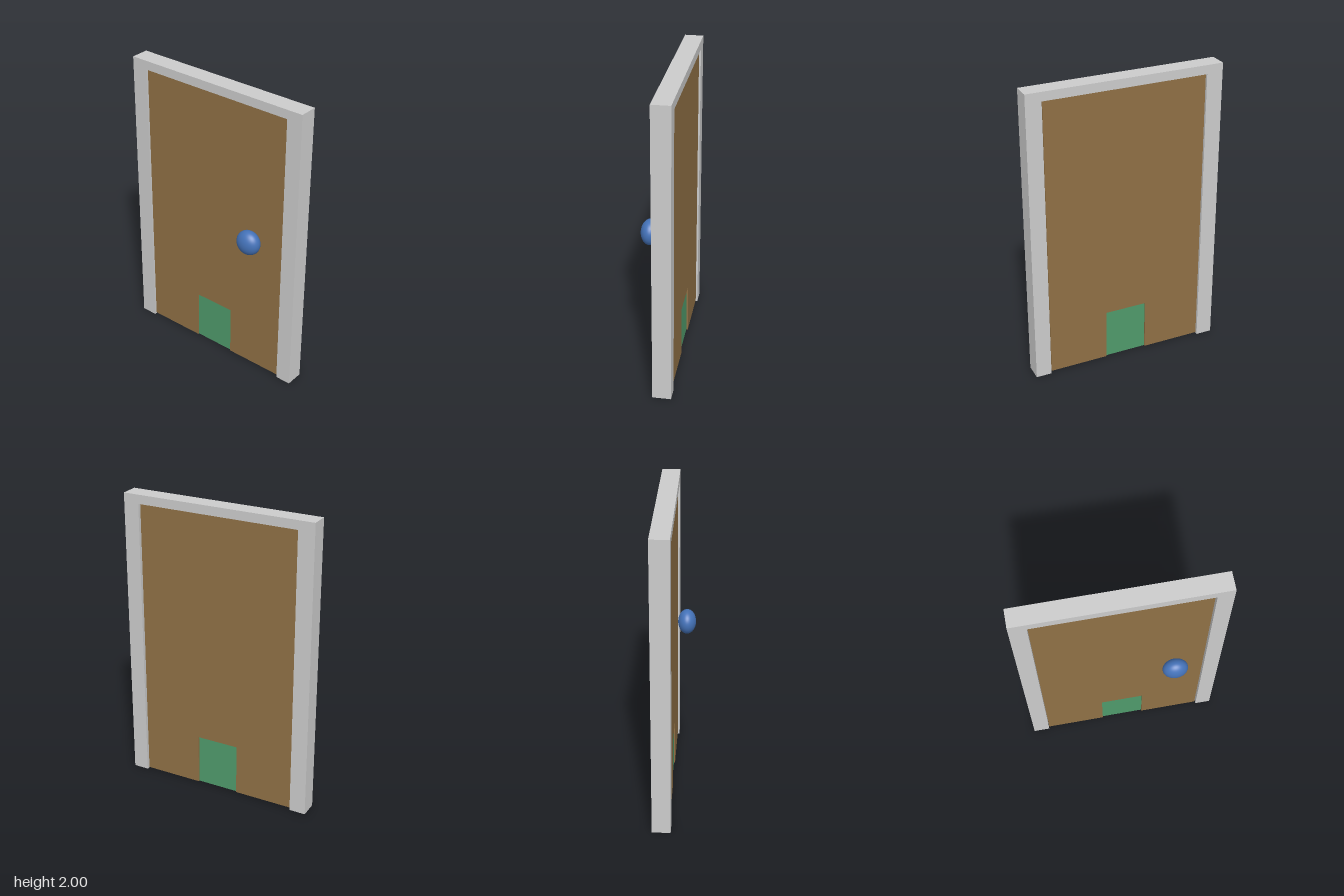
import * as THREE from 'three';

// Extrudes an outline of [x, y] corners from z = back to z = front
function slab(name, points, back, front, color) {
  const shape = new THREE.Shape(points.map(([x, y]) => new THREE.Vector2(x, y)));
  const geometry = new THREE.ExtrudeGeometry(shape, { depth: front - back, bevelEnabled: false });
  geometry.translate(0, 0, back);
  const mesh = new THREE.Mesh(geometry, new THREE.MeshStandardMaterial({ color }));
  mesh.name = name;
  return mesh;
}

// Upside-down U: an outer rectangle with an opening that reaches the bottom edge
function archPoints(left, right, bottom, top, inLeft, inRight, inTop) {
  return [
    [left, bottom], [inLeft, bottom], [inLeft, inTop], [inRight, inTop],
    [inRight, bottom], [right, bottom], [right, top], [left, top],
  ];
}

export function createModel() {
  const model = new THREE.Group();
  model.name = 'door';

  // Door frame: two jambs and a thin header
  model.add(slab('frame', archPoints(-0.66, 0.66, 0, 2, -0.55, 0.555, 1.94), -0.122, 0, 0xcccccc));

  // Door leaf with a cut-out for the pet flap
  model.add(slab('doorLeaf', archPoints(-0.547, 0.548, 0.01, 1.938, -0.145, 0.145, 0.36), -0.11, -0.012, 0x8f7045));

  // Pet flap, slightly recessed on both faces
  model.add(slab('petFlap', [[-0.145, 0.01], [0.145, 0.01], [0.145, 0.36], [-0.145, 0.36]], -0.1, -0.02, 0x4f9a6b));

  // Flattened round knob on the front
  const knob = new THREE.Mesh(
    new THREE.SphereGeometry(1, 48, 32),
    new THREE.MeshStandardMaterial({ color: 0x4472b8 }),
  );
  knob.name = 'knob';
  knob.scale.set(0.084, 0.084, 0.061);
  knob.position.set(0.34, 1.03, 0.061);
  model.add(knob);

  return model;
}
